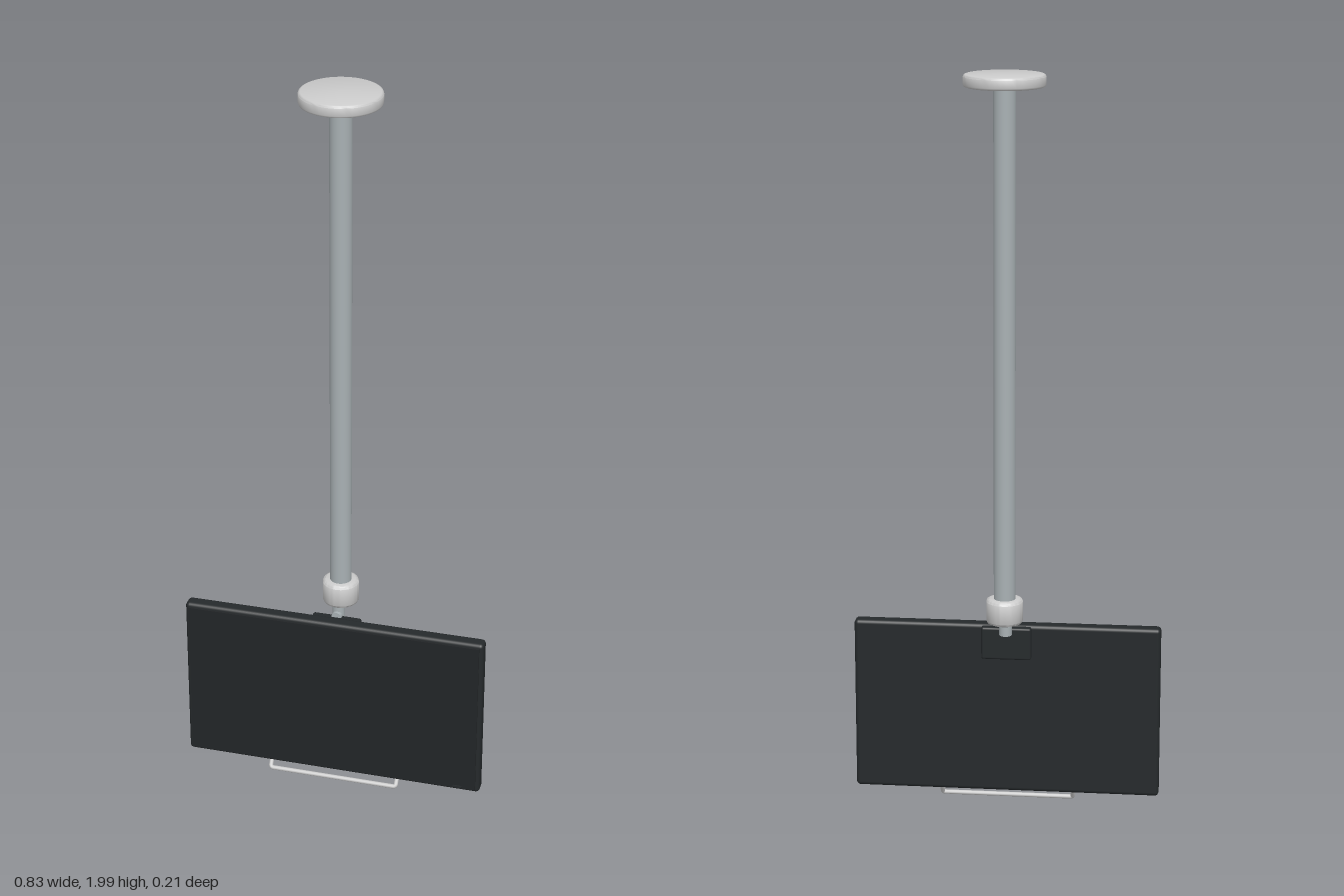
import * as THREE from 'three';
import { RoundedBoxGeometry } from 'three/addons/geometries/RoundedBoxGeometry.js';
import { toCreasedNormals } from 'three/addons/utils/BufferGeometryUtils.js';

const mat = (color) => new THREE.MeshStandardMaterial({ color });

export function createModel() {
  const model = new THREE.Group();
  const light = mat(0xcccccc), steel = mat(0xa8b0b3), black = mat(0x25292b), glass = mat(0x222527);

  const add = (name, geometry, material, x = 0, y = 0, z = 0) => {
    const mesh = new THREE.Mesh(geometry, material);
    mesh.name = name;
    mesh.position.set(x, y, z);
    model.add(mesh);
    return mesh;
  };
  // Solid disc or collar between two heights with softened rims
  const roundedDisc = (r, y0, y1, b) => {
    const points = [[0, y0], [r - b, y0], [r - b * 0.3, y0 + b * 0.3], [r, y0 + b],
      [r, y1 - b], [r - b * 0.3, y1 - b * 0.3], [r - b, y1], [0, y1]];
    const lathe = new THREE.LatheGeometry(points.map(([x, y]) => new THREE.Vector2(x, y)), 48);
    return toCreasedNormals(lathe, 0.9);
  };

  // Ceiling mount and pole
  add('ceilingFlange', roundedDisc(0.106, 1.968, 2, 0.006), light);
  add('pole', new THREE.CylinderGeometry(0.029, 0.029, 1.37, 40), steel, 0, 1.29, 0);
  add('collar', roundedDisc(0.049, 0.54, 0.608, 0.008), light);

  // Swivel stem with a short arm into the bracket
  add('swivelStem', new THREE.CylinderGeometry(0.017, 0.017, 0.05, 24), steel, 0, 0.522, 0.023);
  const arm = add('swivelArm', new THREE.CylinderGeometry(0.014, 0.014, 0.03, 24), steel, 0, 0.512, 0.033);
  arm.rotation.x = Math.PI / 2;
  add('bracketPlate', new RoundedBoxGeometry(0.135, 0.09, 0.025, 3, 0.006), black, 0, 0.467, 0.045);

  // Display
  add('displayHousing', new RoundedBoxGeometry(0.832, 0.48, 0.04, 4, 0.011), black, 0, 0.276, 0.07);
  add('screen', new THREE.BoxGeometry(0.81, 0.458, 0.008), glass, 0, 0.276, 0.091);
  add('powerButton', new THREE.BoxGeometry(0.024, 0.005, 0.004), black, 0.356, 0.053, 0.096);

  // Bent wire handle slanting down and forward beneath the display
  const corners = [[-0.18, 0.045, 0.062], [-0.18, 0.012, 0.087], [0.18, 0.012, 0.087], [0.18, 0.045, 0.062]]
    .map((p) => new THREE.Vector3(...p));
  const path = new THREE.CurvePath();
  const bend = (a, c, b) => new THREE.QuadraticBezierCurve3(a, c, b);
  const toward = (a, b, d) => a.clone().add(b.clone().sub(a).setLength(d));
  const [a, b, c, d] = corners;
  const r = 0.008;
  path.add(new THREE.LineCurve3(a, toward(b, a, r)));
  path.add(bend(toward(b, a, r), b, toward(b, c, r)));
  path.add(new THREE.LineCurve3(toward(b, c, r), toward(c, b, r)));
  path.add(bend(toward(c, b, r), c, toward(c, d, r)));
  path.add(new THREE.LineCurve3(toward(c, d, r), d));
  add('handle', new THREE.TubeGeometry(path, 160, 0.006, 12), light);

  return model;
}
